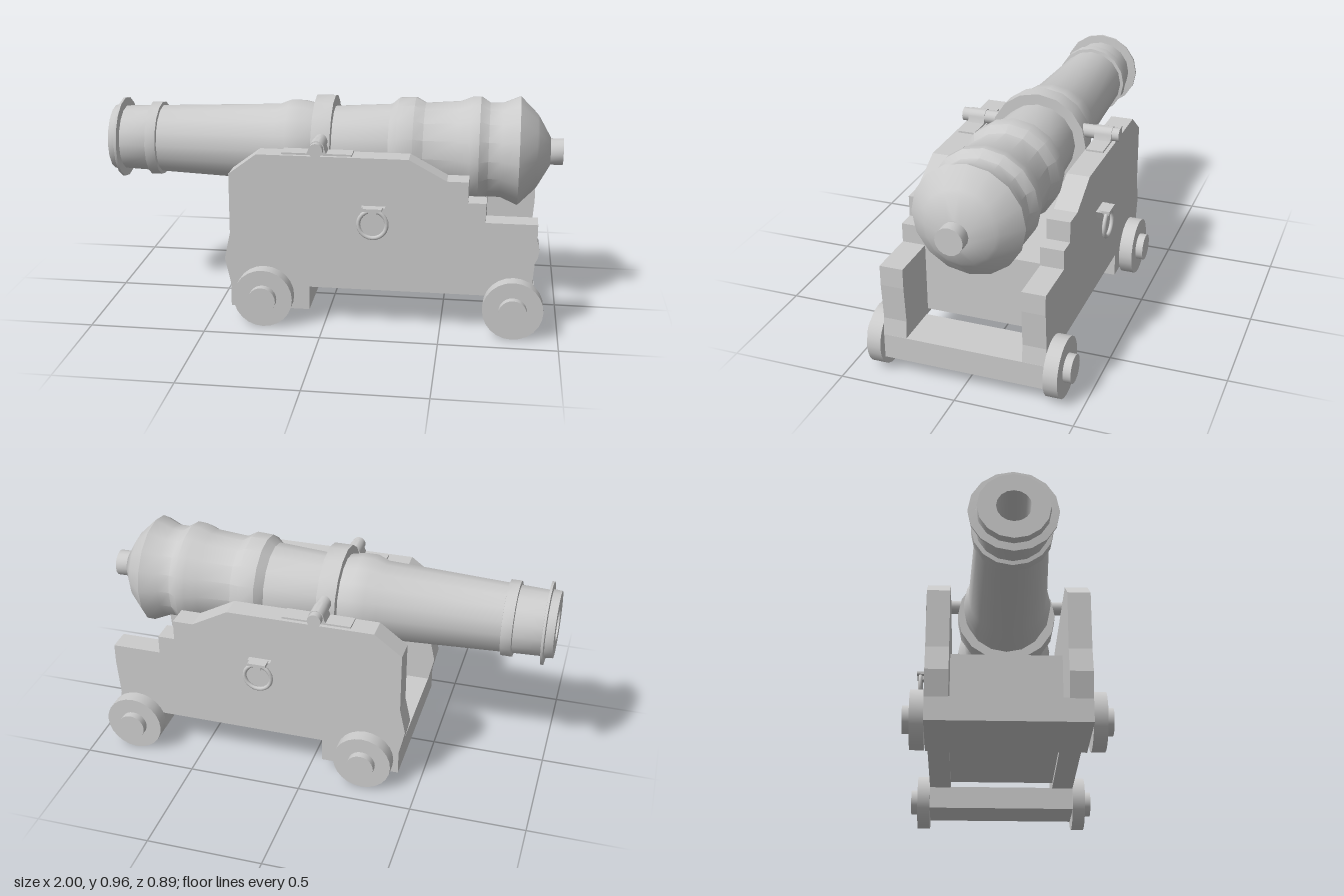
import * as THREE from 'three';
import { toCreasedNormals } from 'three/addons/utils/BufferGeometryUtils.js';

const material = new THREE.MeshStandardMaterial({ color: 0xcccccc });

function add(parent, name, geometry, x = 0, y = 0, z = 0) {
  const mesh = new THREE.Mesh(geometry, material);
  mesh.name = name;
  mesh.position.set(x, y, z);
  parent.add(mesh);
  return mesh;
}

const box = (w, h, d) => new THREE.BoxGeometry(w, h, d);

// Cylinder lying along z, with sharp rims
const rod = (r, length, sides = 24) =>
  new THREE.CylinderGeometry(r, r, length, sides).rotateX(Math.PI / 2);

// Side outline in x, y pushed out along z
function slab(points, depth) {
  const shape = new THREE.Shape(points.map(([x, y]) => new THREE.Vector2(x, y)));
  return new THREE.ExtrudeGeometry(shape, { depth, bevelEnabled: false });
}

export function createModel() {
  const model = new THREE.Group();
  model.name = 'cannon';

  // Barrel: radius and x position, from the bore out over the muzzle to the breech knob
  const profile = [
    [0, -0.6], [0.07, -0.6], [0.07, -1], [0.145, -1], [0.148, -0.965],
    [0.18, -0.963], [0.18, -0.953], [0.143, -0.95], [0.148, -0.83],
    [0.165, -0.828], [0.165, -0.782], [0.15, -0.78], [0.173, -0.25],
    [0.193, -0.2], [0.193, -0.14], [0.18, -0.08], [0.22, -0.08],
    [0.22, 0.003], [0.172, 0.003], [0.188, 0.25], [0.218, 0.285],
    [0.222, 0.357], [0.198, 0.4], [0.21, 0.55], [0.23, 0.6],
    [0.233, 0.64], [0.207, 0.68], [0.208, 0.735], [0.24, 0.81],
    [0.165, 0.885], [0.15, 0.895], [0.062, 0.945], [0.058, 0.945],
    [0.058, 1], [0, 1],
  ].map(([r, x]) => new THREE.Vector2(r, x));
  const barrel = new THREE.LatheGeometry(profile, 16).rotateZ(-Math.PI / 2);
  add(model, 'barrel', toCreasedNormals(barrel, 0.6), 0, 0.72, 0);

  // Trunnion through the barrel
  add(model, 'trunnion', rod(0.03, 0.73, 16), -0.035, 0.785, 0);

  // Carriage: cross beams and the bed between the cheeks
  add(model, 'frontAxleBeam', box(0.345, 0.108, 0.7), -0.2375, 0.121, 0);
  add(model, 'rearAxleBeam', box(0.2, 0.108, 0.7), 0.795, 0.121, 0);
  const bed = [[-0.1, 0.195], [0.68, 0.195], [0.68, 0.505], [-0.1, 0.515]];
  add(model, 'bed', slab(bed, 0.5), 0, 0, -0.25);

  const cheek = [
    [-0.41, 0.172], [0.895, 0.172], [0.885, 0.25], [0.897, 0.41], [0.897, 0.497],
    [0.68, 0.497], [0.68, 0.58], [0.605, 0.58], [0.605, 0.67], [0.515, 0.67],
    [0.355, 0.757], [-0.29, 0.757], [-0.41, 0.667], [-0.41, 0.4], [-0.435, 0.285],
  ];
  const bracket = [[-0.025, -0.025], [0.025, -0.025], [0.05, 0.015], [-0.05, 0.015]];

  // Strap arching over a trunnion
  const strap = new THREE.Shape();
  strap.moveTo(0.045, -0.03);
  strap.lineTo(0.033, 0);
  strap.absarc(0, 0, 0.033, 0, Math.PI, false);
  strap.lineTo(-0.045, -0.03);
  const strapGeometry = toCreasedNormals(
    new THREE.ExtrudeGeometry(strap, { depth: 0.076, bevelEnabled: false, curveSegments: 8 }), 0.6);

  for (const side of [1, -1]) {
    const half = new THREE.Group();
    half.name = side > 0 ? 'frontSide' : 'backSide';
    // The outline parts are symmetric in z, so each side only shifts them
    const slabZ = (near, depth) => (side > 0 ? near : -near - depth);

    add(half, 'cheek', slab(cheek, 0.1), 0, 0, slabZ(0.25, 0.1));
    add(half, 'trunnionPlate', box(0.3, 0.012, 0.076), -0.035, 0.759, side * 0.295);
    add(half, 'trunnionStrap', strapGeometry, -0.035, 0.785, slabZ(0.257, 0.076));

    // Wheels with hub ends
    for (const x of [-0.26, 0.807]) {
      add(half, 'wheel', rod(0.128, 0.06), x, 0.13, side * 0.38);
      add(half, 'hub', rod(0.06, 0.034), x, 0.13, side * 0.426);
    }

    // Tackle ring hanging from its bracket
    add(half, 'ringBracket', slab(bracket, 0.025), 0.21, 0.535, slabZ(0.35, 0.025));
    add(half, 'ringHook', box(0.08, 0.012, 0.045), 0.21, 0.548, side * 0.385);
    add(half, 'ringEye', box(0.035, 0.025, 0.03), 0.21, 0.535, side * 0.385);
    add(half, 'ring', new THREE.TorusGeometry(0.06, 0.009, 8, 24), 0.21, 0.482, side * 0.391);
    model.add(half);
  }

  return model;
}
